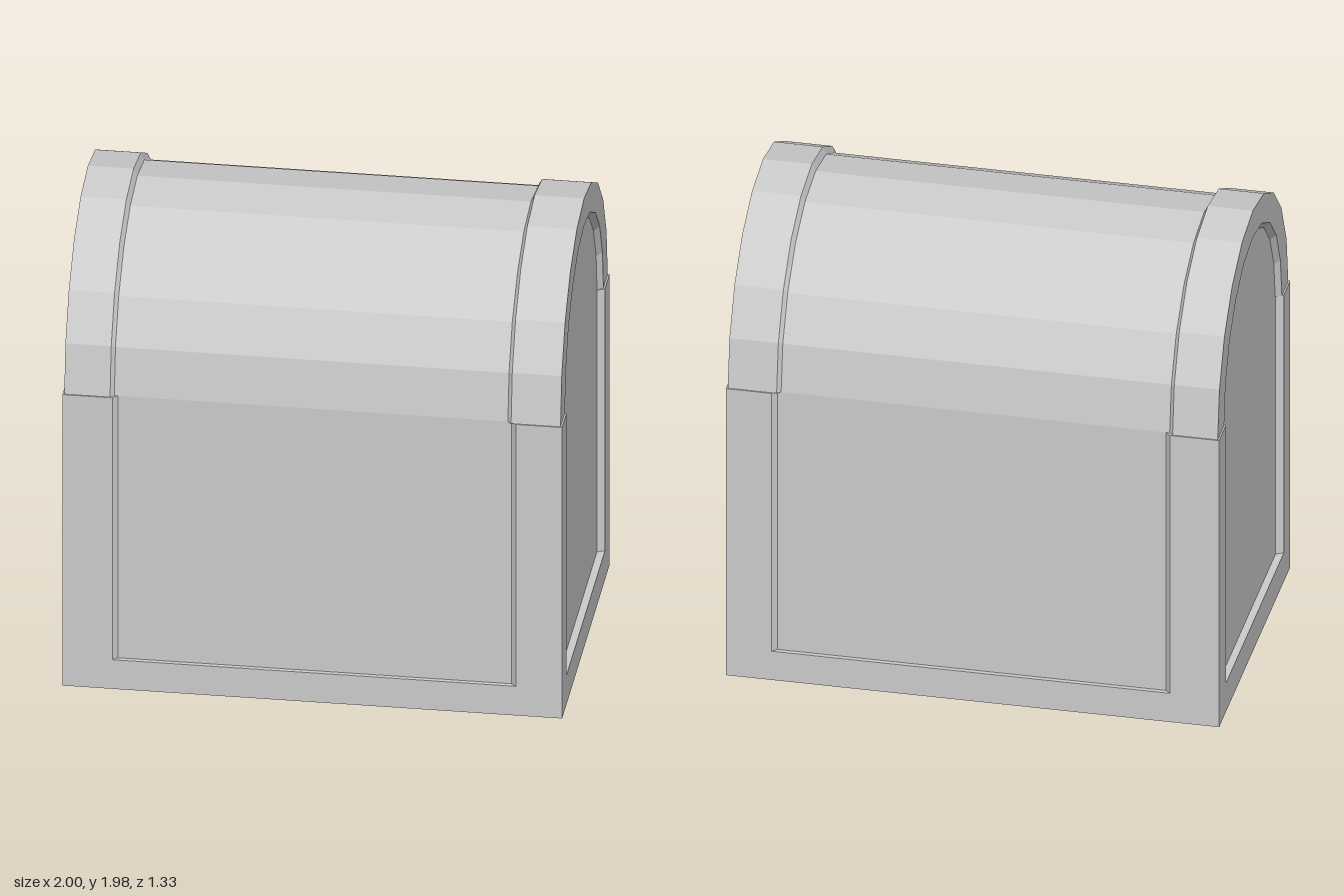
import * as THREE from 'three';

const SEAM = 1.3; // height where the lid meets the body
const ARCH = 10; // flat facets over the arch

const grey = () => new THREE.MeshStandardMaterial({ color: 0xcccccc, flatShading: true });

function addPart(group, name, geometry) {
  const mesh = new THREE.Mesh(geometry, grey());
  mesh.name = name;
  group.add(mesh);
}

// Solid skin through half-elliptic sections [x, half depth, rise]
function loftArch(sections) {
  const rings = sections.map(([x, rz, ry]) =>
    Array.from({ length: ARCH + 1 }, (_, i) => {
      const a = (Math.PI * i) / ARCH;
      return [x, SEAM + ry * Math.sin(a), rz * Math.cos(a)];
    }));
  const pos = [];
  const tri = (a, b, c) => pos.push(...a, ...b, ...c);
  const quad = (a, b, c, d) => { tri(a, b, c); tri(a, c, d); };
  const last = rings.length - 1;
  for (let k = 0; k < last; k++) {
    const r = rings[k], s = rings[k + 1];
    for (let i = 0; i < ARCH; i++) quad(r[i], s[i], s[i + 1], r[i + 1]);
    // underside, left open where the end recesses run down into the body
    if (k > 0 && k < last - 1) quad(r[ARCH], s[ARCH], s[0], r[0]);
  }
  // recessed end panels
  for (let i = 1; i < ARCH; i++) {
    tri(rings[0][0], rings[0][i], rings[0][i + 1]);
    tri(rings[last][0], rings[last][i + 1], rings[last][i]);
  }
  const geo = new THREE.BufferGeometry();
  geo.setAttribute('position', new THREE.Float32BufferAttribute(pos, 3));
  geo.computeVertexNormals();
  return geo;
}

export function createModel() {
  const chest = new THREE.Group();
  chest.name = 'chest';

  // Solid base below the recessed panels
  const baseH = 0.13, W = 1, D = 0.665;
  addPart(chest, 'base', new THREE.BoxGeometry(2 * W, baseH, 2 * D).translate(0, baseH / 2, 0));

  // Body plan: corner posts with bevelled recesses on all four sides
  const px = 0.97, pz = 0.645; // panel planes
  const plan = [
    [-W, -D], [-0.8, -D], [-0.78, -pz], [0.795, -pz], [0.815, -D], [W, -D],
    [W, -0.545], [px, -0.53], [px, 0.52], [W, 0.535], [W, D],
    [0.815, D], [0.795, pz], [-0.78, pz], [-0.8, D], [-W, D],
    [-W, 0.535], [-px, 0.52], [-px, -0.53], [-W, -0.545],
  ];
  const shape = new THREE.Shape(plan.map(([x, y]) => new THREE.Vector2(x, y)));
  const body = new THREE.ExtrudeGeometry(shape, { depth: SEAM - baseH, bevelEnabled: false });
  addPart(chest, 'body', body.rotateX(-Math.PI / 2).translate(0, baseH, 0));

  // Arched lid: raised bands at the ends, lower middle, recessed end panels
  const X = 0.993;
  addPart(chest, 'lid', loftArch([
    [-px, 0.522, 0.535], [-X, 0.54, 0.56], [-X, 0.66, 0.68], [-0.81, 0.66, 0.68],
    [-0.795, 0.645, 0.65], [0.78, 0.645, 0.65],
    [0.795, 0.66, 0.68], [X, 0.66, 0.68], [X, 0.54, 0.56], [px, 0.522, 0.535],
  ]));

  return chest;
}
